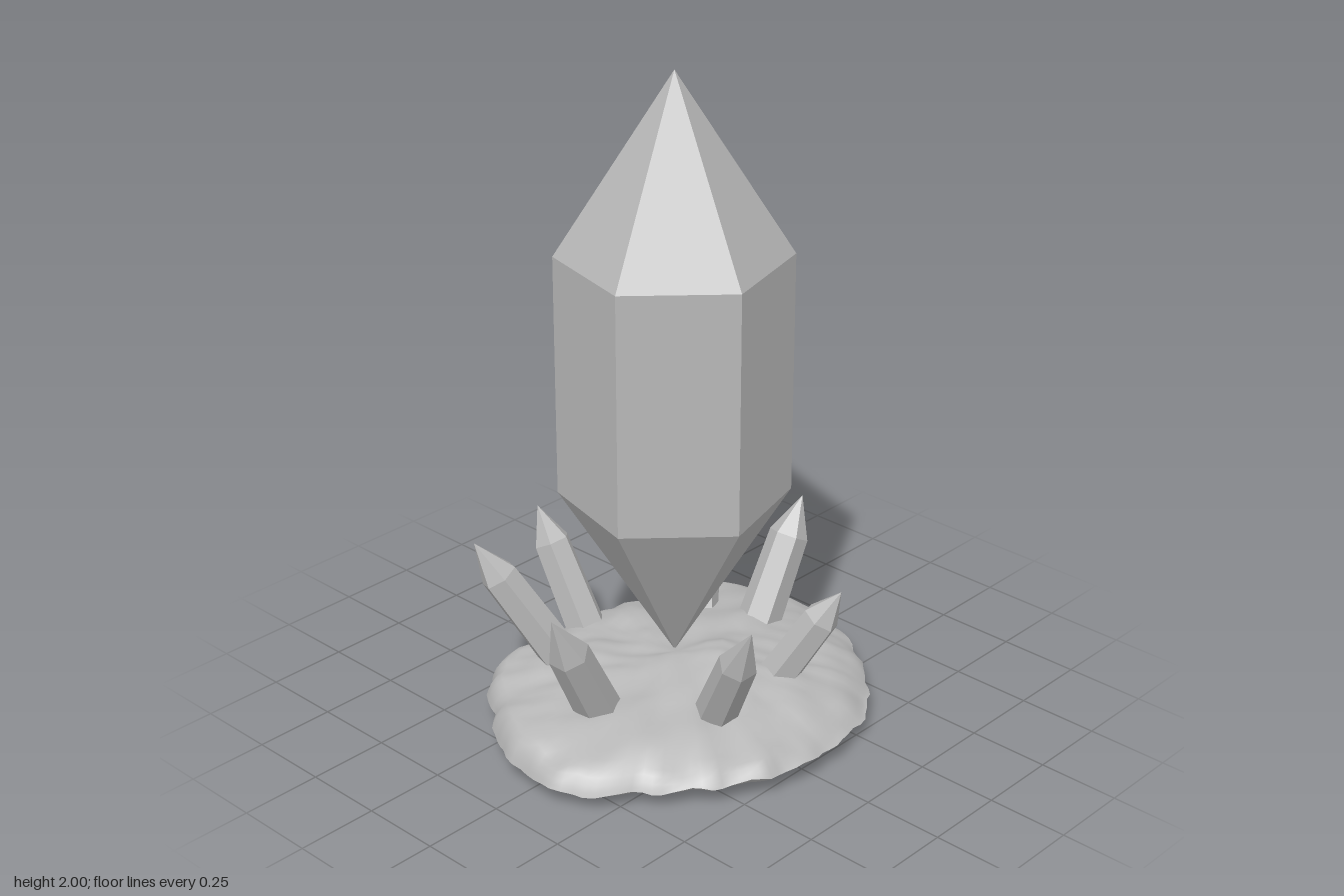
import * as THREE from 'three';

const stone = new THREE.MeshStandardMaterial({ color: 0xb8b8b8 });
stone.name = 'grey stone';

// Six-sided faceted solid from a [radius, height] profile, bottom to top
function hexCrystal(name, profile, phase) {
  const points = profile.map(([r, y]) => new THREE.Vector2(r, y));
  const geometry = new THREE.LatheGeometry(points, 6, phase).toNonIndexed();
  geometry.computeVertexNormals();
  const mesh = new THREE.Mesh(geometry, stone);
  mesh.name = name;
  return mesh;
}

// Rock outline: radius every 15 degrees, from +x towards +z
const OUTLINE = [0.56, 0.56, 0.55, 0.55, 0.57, 0.635, 0.63, 0.61, 0.57, 0.57, 0.54, 0.475,
  0.46, 0.465, 0.475, 0.52, 0.63, 0.64, 0.64, 0.62, 0.595, 0.58, 0.58, 0.565];

function outlineRadius(a) {
  const t = (a / (Math.PI * 2)) * 24;
  const i = Math.floor(t), f = t - i;
  const [p, q, r, s] = [-1, 0, 1, 2].map((k) => OUTLINE[(i + k + 24) % 24]);
  const smooth = q + 0.5 * f * (r - p + f * (2 * p - 5 * q + 4 * r - s + f * (3 * (q - r) + s - p)));
  return smooth + 0.005 * Math.sin(a * 23) + 0.003 * Math.sin(a * 41 + 1);
}

const edgeHeight = (a) => 0.062 + 0.008 * Math.sin(a * 3 + 1) + 0.005 * Math.sin(a * 19);

// Lumpy upper face: high in the middle, rolling over at the rim
function topHeight(s, a, x, z) {
  const rim = 0.105 - 0.06 * x + 0.03 * z;
  const lumps = 0.010 * Math.sin(13 * x + 5 * z) * Math.cos(11 * z - 3 * x)
    + 0.007 * Math.sin(27 * x - 9 * z + 2) * Math.sin(23 * z + 8 * x)
    + 0.004 * Math.sin(45 * x + 20 * z) * Math.sin(41 * z);
  const bump = 0.03 * Math.exp(-((x - 0.13) ** 2 + (z + 0.08) ** 2) / 0.012);
  const body = rim + (0.19 - rim) * (1 - s ** 2.4) + lumps + bump;
  return THREE.MathUtils.lerp(body, edgeHeight(a), s ** 28);
}

// Nearly flat underside curling up to the rim, most on the right
function bottomHeight(s, a, x) {
  const curl = s ** 5 * (0.035 + 0.03 * x);
  return THREE.MathUtils.lerp(curl, edgeHeight(a), s ** 28);
}

// Closed disc of concentric rings following the outline
function rockFace(name, height, up) {
  const N = 120;
  const rings = [0.08, 0.16, 0.24, 0.32, 0.4, 0.48, 0.56, 0.64, 0.72, 0.8, 0.87, 0.92, 0.95, 0.975, 0.99, 1];
  const pos = [0, height(0, 0, 0, 0), 0];
  const idx = [];
  const tri = (a, b, c) => (up ? idx.push(a, c, b) : idx.push(a, b, c));
  rings.forEach((s, k) => {
    for (let i = 0; i < N; i++) {
      const a = (i / N) * Math.PI * 2;
      const r = outlineRadius(a) * s;
      const x = r * Math.cos(a), z = r * Math.sin(a);
      pos.push(x, height(s, a, x, z), z);
      const j = (i + 1) % N, outer = 1 + k * N, inner = outer - N;
      if (k === 0) tri(0, outer + i, outer + j);
      else {
        tri(inner + i, outer + i, outer + j);
        tri(inner + i, outer + j, inner + j);
      }
    }
  });
  const geometry = new THREE.BufferGeometry();
  geometry.setAttribute('position', new THREE.Float32BufferAttribute(pos, 3));
  geometry.setIndex(idx);
  geometry.computeVertexNormals();
  const mesh = new THREE.Mesh(geometry, stone);
  mesh.name = name;
  return mesh;
}

// Small crystals: foot on the rock, tip, radius, point length
const SMALL = [
  { name: 'backCrystal', foot: [0, 0.14, -0.37], tip: [0, 0.51, -0.57], r: 0.07, point: 0.13 },
  { name: 'backRightCrystal', foot: [-0.19, 0.15, -0.3], tip: [-0.335, 0.51, -0.48], r: 0.066, point: 0.12 },
  { name: 'rightCrystal', foot: [-0.39, 0.15, 0.01], tip: [-0.565, 0.5, 0.03], r: 0.066, point: 0.12 },
  { name: 'frontRightCrystal', foot: [-0.245, 0.16, 0.23], tip: [-0.425, 0.57, 0.42], r: 0.066, point: 0.13 },
  { name: 'frontCrystal', foot: [0.005, 0.17, 0.35], tip: [0.035, 0.54, 0.55], r: 0.07, point: 0.16 },
  { name: 'frontLeftCrystal', foot: [0.265, 0.14, 0.12], tip: [0.488, 0.54, 0.215], r: 0.066, point: 0.17 },
  { name: 'backLeftCrystal', foot: [0.25, 0.14, -0.17], tip: [0.41, 0.445, -0.27], r: 0.064, point: 0.11 },
];

export function createModel() {
  const model = new THREE.Group();
  model.name = 'crystalCluster';

  // Rock base
  const base = new THREE.Group();
  base.name = 'rockBase';
  base.add(rockFace('rockTop', topHeight, true), rockFace('rockUnderside', bottomHeight, false));
  model.add(base);

  // Large double-pointed crystal
  const main = hexCrystal('mainCrystal', [[0, 0.18], [0.343, 0.72], [0.343, 1.46], [0, 2]],
    THREE.MathUtils.degToRad(15.5));
  main.position.set(-0.03, 0, -0.022);
  model.add(main);

  // Ring of leaning crystals, rooted inside the rock
  SMALL.forEach(({ name, foot, tip, r, point }, i) => {
    const from = new THREE.Vector3(...foot);
    const axis = new THREE.Vector3(...tip).sub(from);
    const length = axis.length();
    const crystal = hexCrystal(name,
      [[0, -0.06], [r, -0.06], [r * 0.88, length - point], [0, length]], i * 0.4);
    crystal.position.copy(from);
    crystal.quaternion.setFromUnitVectors(new THREE.Vector3(0, 1, 0), axis.normalize());
    model.add(crystal);
  });

  return model;
}
